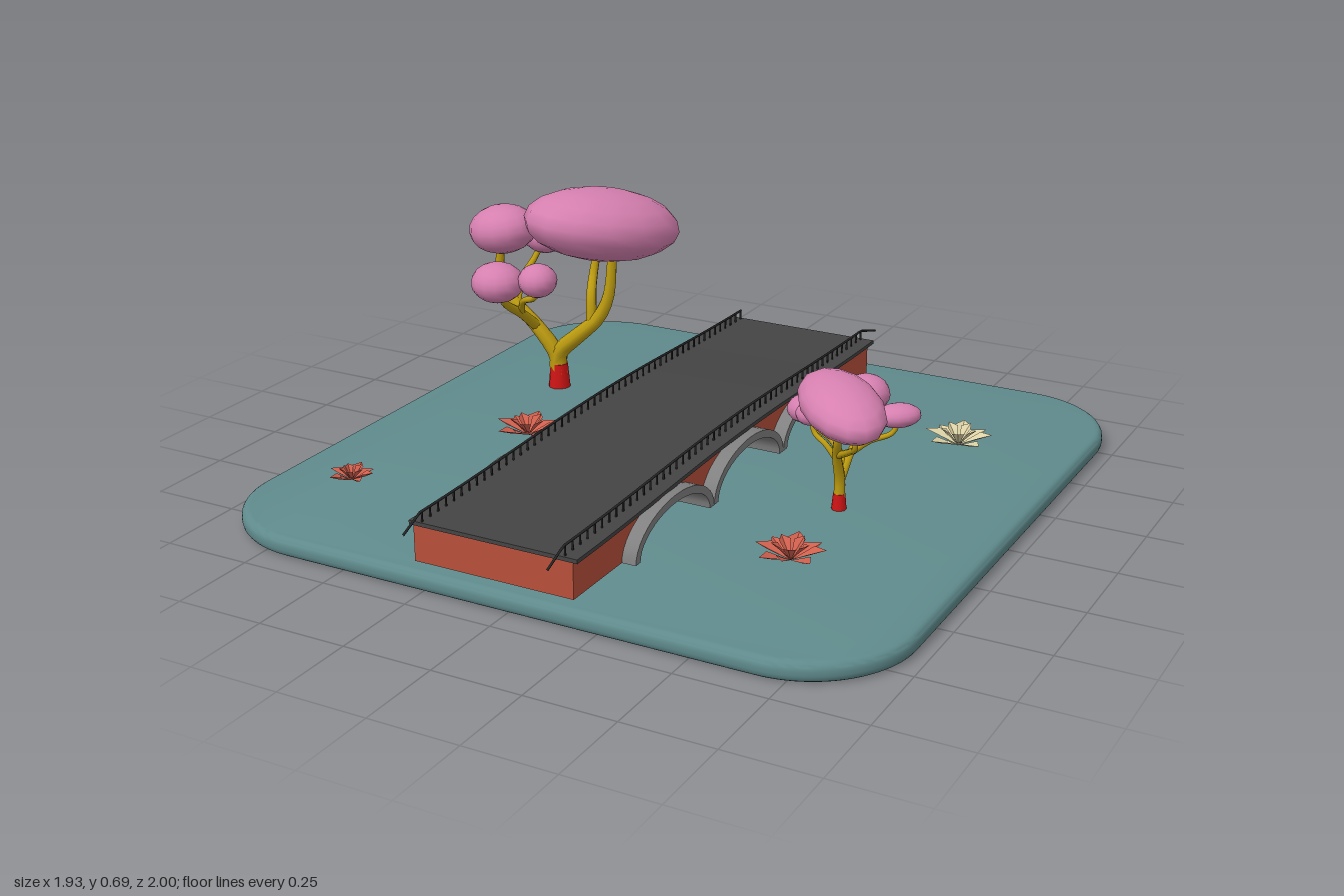
import * as THREE from 'three';
import { mergeGeometries, toCreasedNormals } from 'three/addons/utils/BufferGeometryUtils.js';

const mat = (name, color, side = THREE.FrontSide) => {
  const m = new THREE.MeshStandardMaterial({ color, side });
  m.name = name;
  return m;
};

const V = (p) => new THREE.Vector3(...p);

export function createModel() {
  const M = {
    ground: mat('teal ground', 0x5f8a8c),
    asphalt: mat('dark asphalt', 0x444444),
    brick: mat('red brick', 0xb8503a),
    stone: mat('grey stone', 0x808080),
    iron: mat('black iron', 0x262626),
    bark: mat('golden bark', 0xbd9c10),
    root: mat('red trunk foot', 0xd01414),
    blossom: mat('pink blossom', 0xd680b0),
    redPetal: mat('coral petal', 0xd0604e, THREE.DoubleSide),
    creamPetal: mat('cream petal', 0xddd2a6, THREE.DoubleSide),
  };
  M.redPetal.flatShading = M.creamPetal.flatShading = true;
  const model = new THREE.Group();
  model.name = 'gardenBridge';

  const add = (parent, name, geometry, material) => {
    const mesh = new THREE.Mesh(geometry, material);
    mesh.name = name;
    parent.add(mesh);
    return mesh;
  };
  const group = (name, parent = model) => {
    const g = new THREE.Group();
    g.name = name;
    parent.add(g);
    return g;
  };

  // Ground slab with rounded corners and rounded rim
  const bevel = 0.022, h = 0.9665 - bevel, r = 0.27;
  const slab = new THREE.Shape();
  [[1, 1, 0], [-1, 1, 1], [-1, -1, 2], [1, -1, 3]].forEach(([sx, sy, q]) =>
    slab.absarc(sx * (h - r), sy * (h - r), r, q * Math.PI / 2, (q + 1) * Math.PI / 2));
  const slabGeo = new THREE.ExtrudeGeometry(slab, {
    depth: 0.055 - 2 * bevel, bevelSize: bevel, bevelThickness: bevel, bevelSegments: 4, curveSegments: 12,
  });
  slabGeo.rotateX(-Math.PI / 2).translate(0, bevel, -0.035);
  add(model, 'ground', toCreasedNormals(slabGeo, 0.6), M.ground);

  // Bridge: side profiles drawn in (z, y) and extruded across x
  const bridge = group('bridge');
  const Z0 = -0.84, Z1 = 0.925, BASE = 0.08;
  const rise = (z) => 0.02 * Math.cos(((z - 0.043) / 0.885) * Math.PI / 2) ** 2;
  const crown = (y, a, b, n = 24) => Array.from({ length: n + 1 }, (_, i) => {
    const z = a + (b - a) * i / n;
    return new THREE.Vector2(z, y + rise(z));
  });
  const across = (pts, x0, x1) => {
    const g = new THREE.ExtrudeGeometry(new THREE.Shape(pts), { depth: x1 - x0, bevelEnabled: false });
    return toCreasedNormals(g.rotateY(-Math.PI / 2).translate(x1, 0, 0), 0.5);
  };
  const arc = (c, rz, ry, n = 20) => Array.from({ length: n + 1 }, (_, i) => {
    const a = Math.PI * (1 - i / n);
    return new THREE.Vector2(c + rz * Math.cos(a), BASE + ry * Math.sin(a));
  });
  const arches = [[-0.367, 0.112], [0.055, 0.118], [0.477, 0.112]];

  const wall = [new THREE.Vector2(Z0 + 0.01, BASE)];
  arches.forEach(([c, top]) => wall.push(...arc(c, 0.198, top - 0.012)));
  wall.push(new THREE.Vector2(Z1 - 0.005, BASE), ...crown(0.183, Z1 - 0.005, Z0 + 0.01));
  add(bridge, 'brickWall', across(wall, -0.27, 0.19), M.brick);
  arches.forEach(([c, top]) => {
    const ring = [...arc(c, 0.211, top), ...arc(c, 0.187, top - 0.022).reverse()];
    add(bridge, 'archRing', across(ring, -0.3, 0.23), M.stone);
  });
  add(bridge, 'deck', across([...crown(0.18, Z0, Z1), ...crown(0.191, Z1, Z0)], -0.28, 0.205), M.asphalt);

  // Railings: curved handrail with drooping ends and thin posts
  const railing = (x, backTail) => {
    const rail = group('railing', bridge);
    const path = crown(0.219, Z0 + 0.01, Z1, 30).map((p) => new THREE.Vector3(x, p.y, p.x));
    if (backTail) path.unshift(new THREE.Vector3(x, 0.186, -0.94));
    path.push(new THREE.Vector3(x, 0.186, 1));
    const line = new THREE.CurvePath();
    for (let i = 1; i < path.length; i++) line.add(new THREE.LineCurve3(path[i - 1], path[i]));
    add(rail, 'handrail', new THREE.TubeGeometry(line, 90, 0.0035, 6), M.iron);
    const posts = [];
    for (let i = 0; i <= 50; i++) {
      const z = Z0 + 0.012 + (Z1 - Z0 - 0.02) * i / 50;
      posts.push(new THREE.BoxGeometry(0.004, 0.034, 0.004).translate(x, 0.203 + rise(z), z));
    }
    add(rail, 'posts', mergeGeometries(posts), M.iron);
  };
  railing(-0.245, false);
  railing(0.167, true);

  // Branch: a tube whose rings shrink towards the tip
  const branch = (parent, pts, r0, r1) => {
    const curve = new THREE.CatmullRomCurve3(pts.map(V));
    const n = 14, sides = 8;
    const g = new THREE.TubeGeometry(curve, n, r0, sides);
    const pos = g.attributes.position, v = new THREE.Vector3();
    for (let i = 0; i <= n; i++) {
      const c = curve.getPointAt(i / n), k = 1 + (r1 / r0 - 1) * i / n;
      for (let j = 0; j <= sides; j++) {
        const id = i * (sides + 1) + j;
        v.fromBufferAttribute(pos, id).sub(c).multiplyScalar(k).add(c);
        pos.setXYZ(id, v.x, v.y, v.z);
      }
    }
    add(parent, 'branch', g, M.bark);
  };

  // Leaf cloud: ellipsoid with its long axis along dir; radii are long, high, wide
  const cloud = (parent, centre, dir, radii) => {
    const a = V(dir).normalize();
    const c = a.clone().cross(new THREE.Vector3(0, 1, 0)).normalize();
    const b = c.clone().cross(a);
    const g = new THREE.SphereGeometry(1, 14, 10).scale(...radii);
    g.applyMatrix4(new THREE.Matrix4().makeBasis(a, b, c)).translate(...centre);
    add(parent, 'blossomCloud', g, M.blossom);
  };

  const tree = (name, [x, z], footR, footTop, branches, clouds) => {
    const t = group(name);
    add(t, 'trunkFoot', new THREE.CylinderGeometry(footR * 0.82, footR * 1.05, footTop - 0.05, 10)
      .translate(x, (footTop + 0.05) / 2, z), M.root);
    branches.forEach((b) => branch(t, ...b));
    clouds.forEach((c) => cloud(t, ...c));
  };

  tree('largeTree', [-0.63, -0.36], 0.033, 0.13, [
    [[[-0.63, 0.1, -0.36], [-0.63, 0.16, -0.36], [-0.56, 0.23, -0.365], [-0.5, 0.29, -0.38], [-0.47, 0.36, -0.39], [-0.46, 0.5, -0.4]], 0.029, 0.014],
    [[[-0.63, 0.1, -0.36], [-0.635, 0.15, -0.36], [-0.69, 0.23, -0.35], [-0.77, 0.3, -0.35], [-0.83, 0.35, -0.36], [-0.83, 0.5, -0.36]], 0.027, 0.011],
    [[[-0.52, 0.27, -0.375], [-0.53, 0.35, -0.39], [-0.55, 0.41, -0.44], [-0.54, 0.53, -0.47]], 0.018, 0.01],
    [[[-0.7, 0.24, -0.35], [-0.71, 0.3, -0.28], [-0.71, 0.36, -0.19], [-0.705, 0.43, -0.15]], 0.018, 0.009],
    [[[-0.71, 0.3, -0.28], [-0.67, 0.36, -0.23], [-0.61, 0.39, -0.2], [-0.59, 0.45, -0.18]], 0.011, 0.008],
    [[[-0.77, 0.3, -0.35], [-0.8, 0.35, -0.42], [-0.8, 0.4, -0.5], [-0.78, 0.46, -0.53]], 0.014, 0.008],
  ], [
    [[-0.507, 0.572, -0.422], [0.56, -0.17, -0.83], [0.25, 0.108, 0.172]],
    [[-0.82, 0.53, -0.36], [1, 0.15, 0], [0.107, 0.075, 0.098]],
    [[-0.705, 0.437, -0.147], [1, 0, 0.2], [0.08, 0.06, 0.078]],
    [[-0.588, 0.45, -0.182], [1, 0, -0.2], [0.058, 0.05, 0.06]],
    [[-0.782, 0.47, -0.535], [0.75, 0.1, 0.66], [0.1, 0.055, 0.066]],
  ]);

  tree('smallTree', [0.507, 0.08], 0.02, 0.1, [
    [[[0.507, 0.08, 0.08], [0.507, 0.14, 0.08], [0.51, 0.22, 0.11], [0.525, 0.28, 0.14], [0.53, 0.36, 0.14]], 0.017, 0.009],
    [[[0.507, 0.12, 0.08], [0.5, 0.18, 0.05], [0.46, 0.225, 0.03], [0.4, 0.245, 0.01], [0.375, 0.29, 0.01]], 0.013, 0.006],
    [[[0.507, 0.13, 0.08], [0.515, 0.2, 0.03], [0.52, 0.25, -0.03], [0.52, 0.33, -0.05]], 0.013, 0.007],
    [[[0.515, 0.2, 0.03], [0.56, 0.235, 0.01], [0.61, 0.255, -0.02], [0.63, 0.3, -0.025]], 0.01, 0.006],
    [[[0.508, 0.19, 0.09], [0.47, 0.235, 0.09], [0.43, 0.26, 0.08], [0.42, 0.31, 0.075]], 0.009, 0.006],
    [[[0.512, 0.22, 0.11], [0.57, 0.26, 0.16], [0.6, 0.29, 0.2], [0.6, 0.35, 0.2]], 0.01, 0.007],
  ], [
    [[0.537, 0.376, 0.147], [0.72, -0.17, 0.68], [0.167, 0.066, 0.107]],
    [[0.372, 0.292, 0.007], [1, 0.1, 0], [0.053, 0.039, 0.05]],
    [[0.52, 0.342, -0.05], [1, 0, -0.3], [0.065, 0.052, 0.066]],
    [[0.625, 0.308, -0.022], [0.75, 0, -0.66], [0.064, 0.032, 0.044]],
    [[0.417, 0.31, 0.078], [1, 0, 0.5], [0.04, 0.032, 0.04]],
  ]);

  // Flowers: folded pointed petals in a low outer ring and a steeper inner ring
  const petal = (len, width, lift, angle) => {
    const g = new THREE.BufferGeometry();
    const mid = len * 0.6, y = lift * 0.75;
    g.setAttribute('position', new THREE.Float32BufferAttribute([
      0, 0, 0, mid, y + 0.006, -width, mid, y - 0.006, 0, mid, y + 0.006, -width, len, lift, 0, mid, y - 0.006, 0,
      0, 0, 0, mid, y - 0.006, 0, mid, y + 0.006, width, mid, y - 0.006, 0, len, lift, 0, mid, y + 0.006, width,
    ].map((n, i, a) => a[i]), 3));
    for (let i = 0; i < 12; i += 3) { // wind every face upwards
      const p = g.attributes.position, [a, b, c] = [0, 1, 2].map((k) => new THREE.Vector3().fromBufferAttribute(p, i + k));
      if (b.clone().sub(a).cross(c.clone().sub(a)).y < 0) {
        p.setXYZ(i + 1, c.x, c.y, c.z);
        p.setXYZ(i + 2, b.x, b.y, b.z);
      }
    }
    g.computeVertexNormals();
    return g.rotateY(angle);
  };
  const flower = (name, x, y, z, size, material) => {
    const petals = [];
    for (let i = 0; i < 8; i++) petals.push(petal(size, size * 0.27, size * (i % 2 ? 0.3 : 0.42), i * Math.PI / 4 + 0.2));
    for (let i = 0; i < 5; i++) petals.push(petal(size * 0.55, size * 0.18, size * 0.55, i * Math.PI * 0.4));
    add(model, name, mergeGeometries(petals), material).position.set(x, y, z);
  };
  flower('coralFlower', -0.46, 0.085, 0.09, 0.092, M.redPetal);
  flower('coralFlower', -0.708, 0.085, 0.59, 0.063, M.redPetal);
  flower('coralFlower', 0.557, 0.085, 0.485, 0.092, M.redPetal);
  flower('creamFlower', 0.628, 0.058, -0.48, 0.096, M.creamPetal);

  return model;
}
